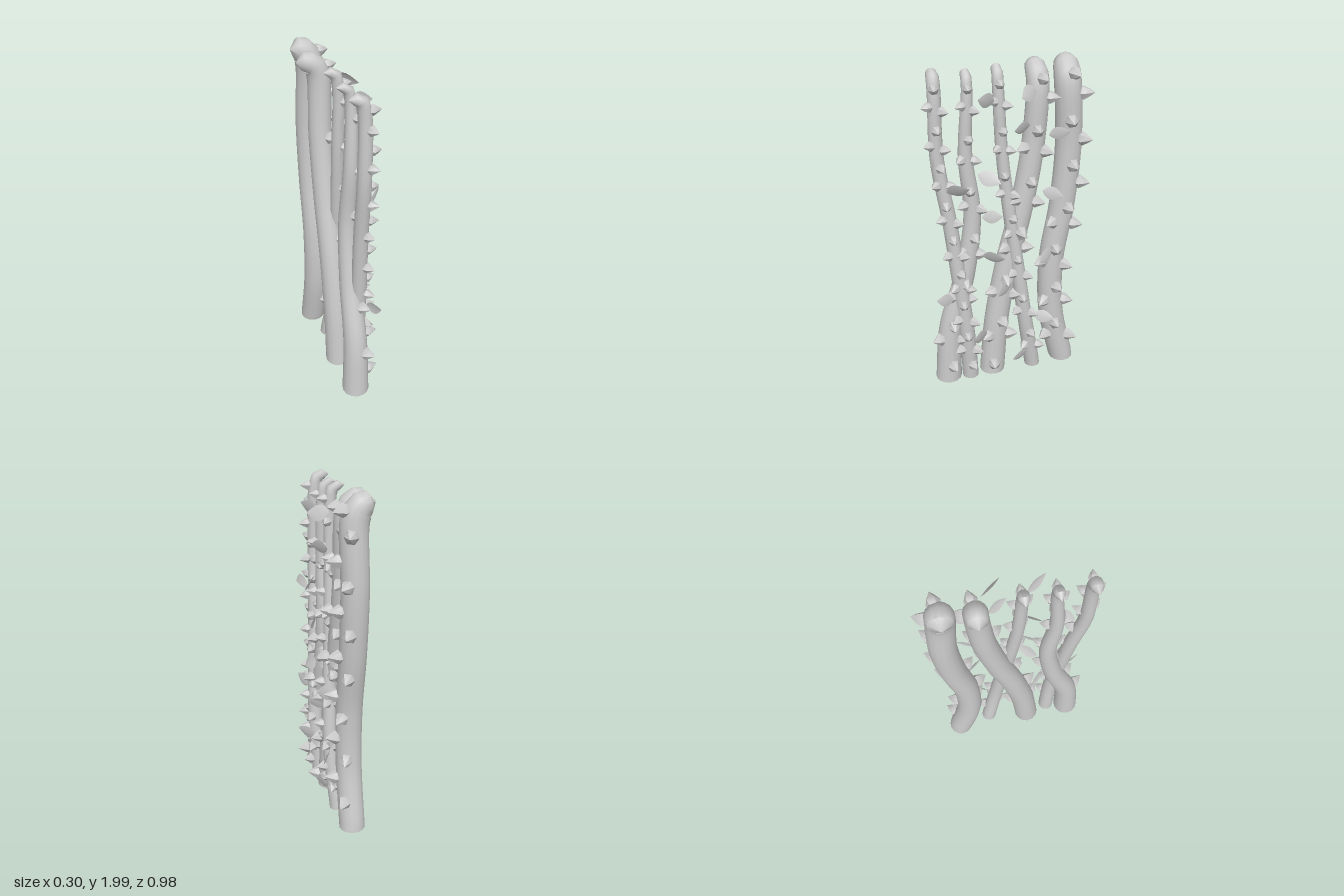
import * as THREE from 'three';
import { toCreasedNormals } from 'three/addons/utils/BufferGeometryUtils.js';

const grey = new THREE.MeshStandardMaterial({ color: 0xcccccc });
const thin = new THREE.MeshStandardMaterial({ color: 0xcccccc, side: THREE.DoubleSide });

// Each stem: z at evenly spaced heights, radius and x at base and top, forward bulge where it crosses
// another stem, height, x of the hooked tip, thorn row spacing, height below which left thorns grow
const STEMS = [
  { zs: [-.378, -.3, -.295, -.352, -.378, -.36], r: [.077, .077], x: [-.035, -.035], bulge: 0, top: 2, tip: -.14, row: .265, left: 1.2 },
  { zs: [.09, .057, -.01, -.1, -.165, -.19], r: [.078, .064], x: [-.033, -.045], bulge: 0, top: 1.98, tip: -.165, row: .3, left: 1.7 },
  { zs: [-.17, -.11, -.062, -.015, .025, .043], r: [.048, .032], x: [-.005, -.02], bulge: .03, top: 1.97, tip: -.1, row: .265, left: 2 },
  { zs: [.375, .35, .25, .2, .232, .214], r: [.08, .03], x: [-.033, -.022], bulge: 0, top: 1.955, tip: -.1, row: .29, left: 2 },
  { zs: [.24, .263, .3, .34, .392, .391], r: [.05, .036], x: [-.005, -.022], bulge: .025, top: 1.97, tip: -.107, row: .22, left: 2 },
];

// Leaves: base z, base y, side they grow to
const LEAVES = [
  [.08, 1.79, 1], [-.15, 1.84, 1], [-.12, 1.64, 1], [-.23, 1.57, -1], [.18, 1.39, -1],
  [.36, 1.3, -1], [-.2, 1.24, -1], [.16, 1.12, -1], [.16, .87, -1], [-.27, .84, 1],
  [.34, .6, 1], [-.02, .66, 1], [.14, .32, 1], [-.16, .4, -1], [-.12, .13, 1],
];

// Path points of a stem, ending in a hook toward -x; w holds the radius
function stemPath({ zs, r, x, bulge, top, tip }) {
  const { lerp } = THREE.MathUtils;
  const points = zs.map((z, i) => {
    const t = i / (zs.length - 1);
    const px = lerp(x[0], x[1], t) + bulge * Math.sin(Math.PI * Math.sqrt(t)) ** 2;
    return new THREE.Vector4(px, lerp(.005, 1.85, t), z, lerp(r[0], r[1], t));
  });
  const end = points[points.length - 1];
  const hook = [[.25, 1.15, .97], [.55, .95, .88], [.85, .88, .66], [1, .9, .05]]
    .map(([k, drop, s]) => new THREE.Vector4(lerp(end.x, tip, k), top - drop * end.w, end.z, end.w * s));
  return [...points, ...hook];
}

function radiusAt(points, t) {
  const f = t * (points.length - 1), i = Math.min(Math.floor(f), points.length - 2);
  return THREE.MathUtils.lerp(points[i].w, points[i + 1].w, f - i);
}

// Tube whose rings are scaled to the local radius
function taperedTube(curve, points) {
  const segments = 56, sides = 14;
  const geo = new THREE.TubeGeometry(curve, segments, 1, sides);
  const pos = geo.attributes.position, v = new THREE.Vector3();
  for (let i = 0; i <= segments; i++) {
    const centre = curve.getPointAt(i / segments);
    const r = radiusAt(points, curve.getUtoTmapping(i / segments));
    for (let j = 0; j <= sides; j++) {
      const k = i * (sides + 1) + j;
      v.fromBufferAttribute(pos, k).sub(centre).multiplyScalar(r).add(centre);
      if (i === 0) v.y = 0;
      pos.setXYZ(k, v.x, v.y, v.z);
    }
  }
  return toCreasedNormals(geo, 1);
}

// Folded, pointed leaf along +x, facing +z
function leafGeometry() {
  const geo = new THREE.PlaneGeometry(1, 2, 8, 2);
  const pos = geo.attributes.position;
  for (let i = 0; i < pos.count; i++) {
    const u = pos.getX(i) + .5;
    const y = pos.getY(i) * .31 * Math.sin(Math.PI * Math.pow(u, .85));
    pos.setXYZ(i, u, y, -Math.abs(y) * .2 + .04 * Math.sin(Math.PI * u));
  }
  geo.computeVertexNormals();
  return geo;
}

export function createModel() {
  const model = new THREE.Group();
  const up = new THREE.Vector3(0, 1, 0);
  const thornGeo = toCreasedNormals(new THREE.LatheGeometry(
    [[.85, -.3], [1.08, .35], [.6, 1.2], [0, 2.05]].map(([x, y]) => new THREE.Vector2(x, y)), 6), .8);

  STEMS.forEach((spec, n) => {
    const group = new THREE.Group();
    group.name = `thornyStem${n + 1}`;
    const points = stemPath(spec);
    const curve = new THREE.CatmullRomCurve3(points.map(p => new THREE.Vector3(p.x, p.y, p.z)));

    const stem = new THREE.Mesh(taperedTube(curve, points), grey);
    stem.name = 'stem';
    const base = new THREE.Mesh(new THREE.CircleGeometry(spec.r[0], 14).rotateX(Math.PI / 2), grey);
    base.name = 'stemBase';
    base.position.set(spec.x[0], 0, spec.zs[0]);
    group.add(stem, base);

    // Rows of thorns: one facing +x and one to each side
    const addThorn = (y, angle) => {
      let t = 0;
      while (curve.getPoint(t).y < y) t += .004;
      const r = radiusAt(points, t), size = .018 + .25 * r;
      const dir = new THREE.Vector3(Math.cos(angle), 0, Math.sin(angle));
      const thorn = new THREE.Mesh(thornGeo, grey);
      thorn.name = 'thorn';
      thorn.position.copy(curve.getPoint(t)).addScaledVector(dir, r - .1 * size);
      dir.y = .15 * Math.sin(y * 25);
      thorn.quaternion.setFromUnitVectors(up, dir.normalize());
      thorn.scale.setScalar(size);
      group.add(thorn);
    };
    for (let y = spec.top - .1; y > .07; y -= spec.row) {
      const sway = .18 * Math.sin(y * 9 + n);
      addThorn(y, sway);
      if (y > .2) addThorn(y - .12, -.95 + sway);
      if (y > .2 && y < spec.left) addThorn(y - .1, .95 + sway);
    }
    model.add(group);
  });

  // Leaves spread sideways and forward from the stems
  const leafGeo = leafGeometry();
  LEAVES.forEach(([z, y, side], i) => {
    const along = new THREE.Vector3(.07 + .025 * Math.sin(i * 1.7), .045 * Math.sin(i * 2.6 + 1), .11 * side);
    const length = along.length();
    along.normalize();
    const across = new THREE.Vector3(1, .3 * Math.sin(i * 2.1), 0).cross(along).normalize();
    const normal = along.clone().cross(across);
    const leaf = new THREE.Mesh(leafGeo, thin);
    leaf.name = 'leaf';
    leaf.quaternion.setFromRotationMatrix(new THREE.Matrix4().makeBasis(along, across, normal));
    leaf.position.set(.04, y, z);
    leaf.scale.setScalar(length);
    model.add(leaf);
  });
  return model;
}
